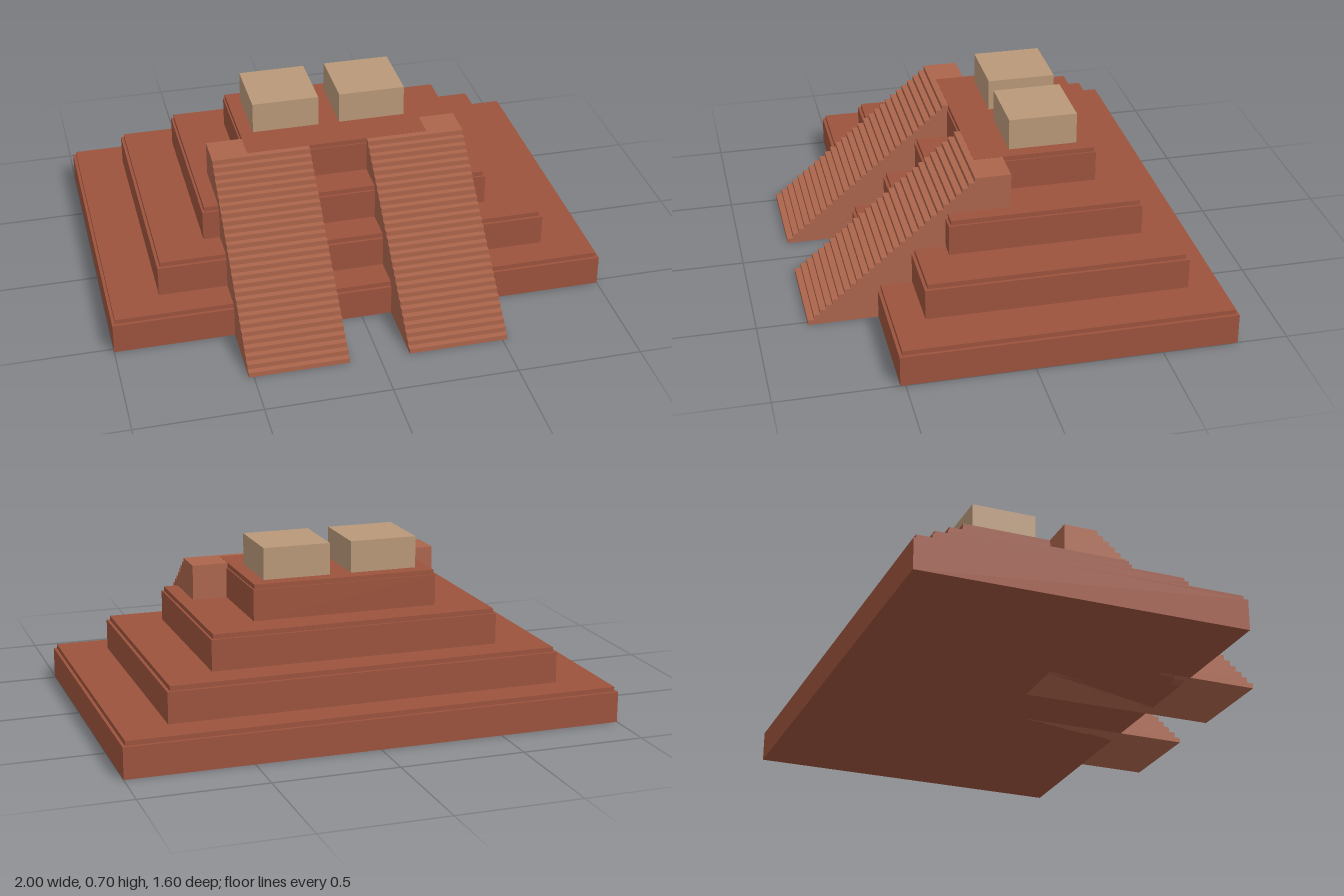
import * as THREE from 'three';

const brick = new THREE.MeshStandardMaterial({ color: 0x9c533d, flatShading: true });
const stairBrick = new THREE.MeshStandardMaterial({ color: 0xac654c, flatShading: true });
const sandstone = new THREE.MeshStandardMaterial({ color: 0xb99878, flatShading: true });

// Box given by its extents on each axis
function block(name, material, [x0, x1], [y0, y1], [z0, z1]) {
  const mesh = new THREE.Mesh(new THREE.BoxGeometry(x1 - x0, y1 - y0, z1 - z0), material);
  mesh.position.set((x0 + x1) / 2, (y0 + y1) / 2, (z0 + z1) / 2);
  mesh.name = name;
  return mesh;
}

// Solid staircase: stepped side profile extruded across its width
function staircaseGeometry(width, steps, height, front, landing, back) {
  const run = (front - landing) / (steps - 1);
  const rise = height / steps;
  const profile = new THREE.Shape();
  profile.moveTo(back, 0);
  profile.lineTo(front, 0);
  for (let i = 0; i < steps; i++) {
    const z = front - i * run;
    profile.lineTo(z, (i + 1) * rise);
    profile.lineTo(i < steps - 1 ? z - run : back, (i + 1) * rise);
  }
  const geometry = new THREE.ExtrudeGeometry(profile, { depth: width, bevelEnabled: false });
  geometry.translate(0, 0, -width / 2);
  geometry.rotateY(-Math.PI / 2); // profile x becomes +z
  return geometry;
}

export function createModel() {
  const model = new THREE.Group();
  model.name = 'steppedPyramid';

  // Four terraces, each a wall with a slightly inset cap
  const tierHeight = 0.144, capHeight = 0.019;
  const tiers = [
    { x: 1.0, back: -0.8, front: 0.52, inset: 0.012 },
    { x: 0.795, back: -0.66, front: 0.383, inset: 0.012 },
    { x: 0.587, back: -0.527, front: 0.247, inset: 0.009 },
    { x: 0.379, back: -0.392, front: 0.109, inset: 0.006 },
  ];
  tiers.forEach(({ x, back, front, inset }, i) => {
    const y = i * tierHeight, top = y + tierHeight, seam = top - capHeight;
    const tier = new THREE.Group();
    tier.name = `tier${i + 1}`;
    tier.add(
      block('tierWall', brick, [-x, x], [y, seam], [back, front]),
      block('tierCap', brick, [-x + inset, x - inset], [seam, top], [back + inset, front - inset]),
    );
    model.add(tier);
  });

  // Twin staircases and twin temples
  const top = tiers.length * tierHeight;
  const stairs = staircaseGeometry(0.4, 28, top - 0.001, 0.8, 0.13, -0.013);
  for (const [side, s] of [['left', 1], ['right', -1]]) {
    const staircase = new THREE.Mesh(stairs, stairBrick);
    staircase.name = `${side}Staircase`;
    staircase.position.x = s * 0.32;
    const xs = [s * 0.044, s * 0.318].sort((a, b) => a - b);
    model.add(staircase, block(`${side}Temple`, sandstone, xs, [top, 0.704], [-0.327, -0.052]));
  }
  return model;
}
